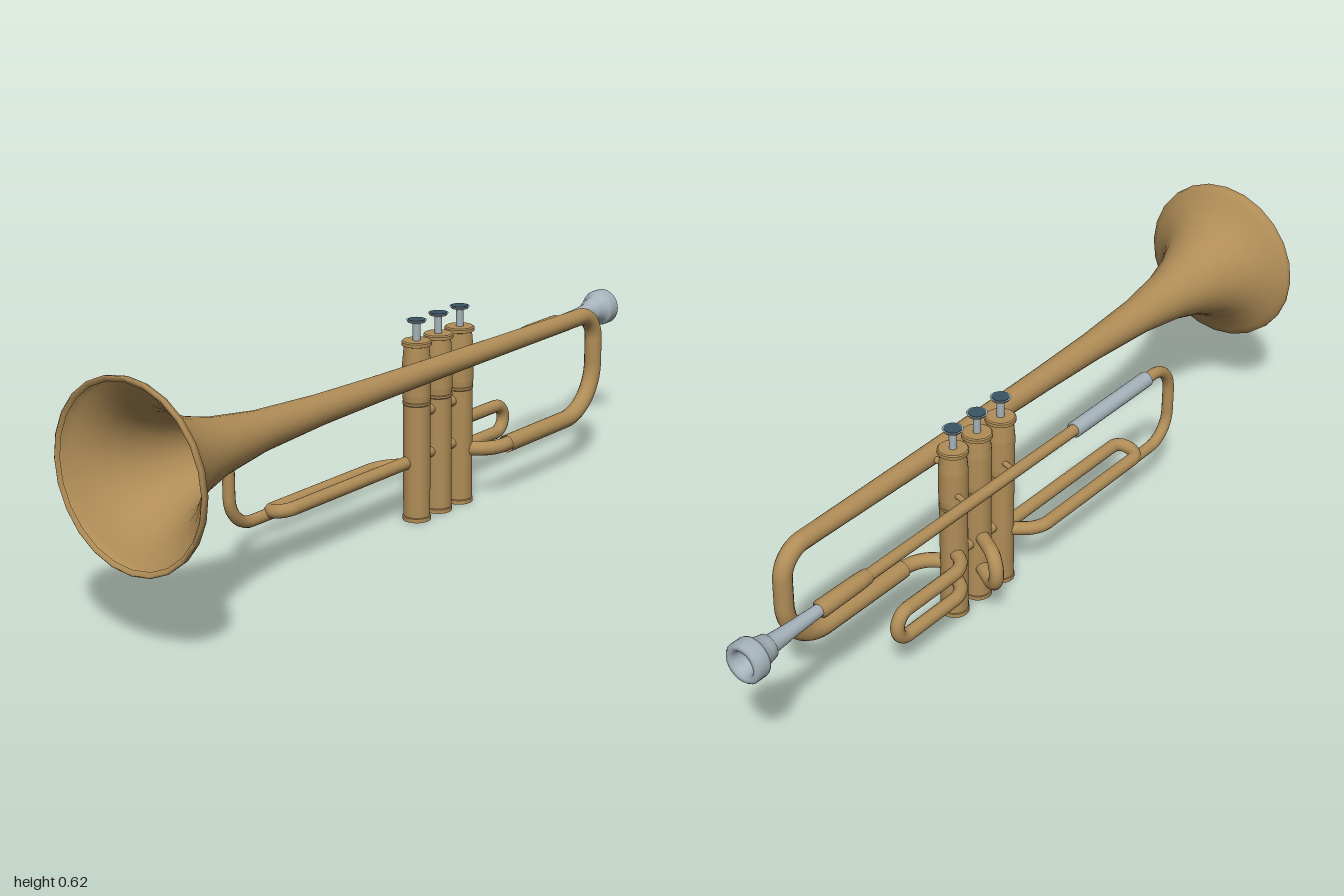
import * as THREE from 'three';

const mat = (name, color, side = THREE.FrontSide) => {
  const m = new THREE.MeshStandardMaterial({ color, side });
  m.name = name;
  return m;
};

export function createModel() {
  const brass = mat('brass', 0xb08d57, THREE.DoubleSide);
  const silver = mat('silver', 0xa5b3ba, THREE.DoubleSide);
  const dark = mat('dark inlay', 0x3a5566);
  const root = new THREE.Group();
  root.name = 'trumpet';

  const add = (name, geo, material, parent = root) => {
    const mesh = new THREE.Mesh(geo, material);
    mesh.name = name;
    parent.add(mesh);
    return mesh;
  };

  // Round tube along a polyline with circular corners
  const pipe = (name, pts, r, corner = 0.03, material = brass, parent = root) => {
    const p = pts.map(a => new THREE.Vector3(...a));
    const path = new THREE.CurvePath();
    let last = p[0];
    for (let i = 1; i < p.length - 1; i++) {
      const u = p[i - 1].clone().sub(p[i]), v = p[i + 1].clone().sub(p[i]);
      const c = Math.min(corner, u.length() * 0.499, v.length() * 0.499);
      u.normalize();
      v.normalize();
      const at = (d, k) => p[i].clone().addScaledVector(d, c * k);
      path.add(new THREE.LineCurve3(last, at(u, 1)));
      path.add(new THREE.CubicBezierCurve3(at(u, 1), at(u, 0.448), at(v, 0.448), at(v, 1)));
      last = at(v, 1);
    }
    path.add(new THREE.LineCurve3(last, p[p.length - 1]));
    return add(name, new THREE.TubeGeometry(path, p.length > 2 ? 110 : 1, r, 14), material, parent);
  };

  // Lathe lying along +x, profile given as [x, radius]
  const turned = (name, profile, y, z, material, sides = 24) => {
    const geo = new THREE.LatheGeometry(profile.map(([x, r]) => new THREE.Vector2(r, x)), sides);
    geo.rotateZ(-Math.PI / 2);
    geo.translate(0, y, z);
    return add(name, geo, material);
  };

  // Flared bell and main tube
  turned('bell', [[-0.992, 0.2], [-1, 0.208], [-0.996, 0.213], [-0.983, 0.211], [-0.972, 0.194], [-0.95, 0.162],
    [-0.92, 0.135], [-0.88, 0.111], [-0.82, 0.087], [-0.74, 0.066], [-0.6, 0.047], [-0.4, 0.036],
    [-0.2, 0.031], [0, 0.028], [0.3, 0.025], [0.6, 0.0225]], 0.403, 0, brass);
  pipe('bellBow', [[0.59, 0.403, 0], [0.724, 0.403, 0], [0.724, 0.139, 0], [0.33, 0.139, 0]], 0.0225, 0.1315);
  pipe('bellBowEnd', [[0.36, 0.139, 0], [0.28, 0.139, 0], [0.235, 0.139, -0.065]], 0.018, 0.04);

  // Three piston valves
  const vz = -0.075;
  const valveX = [0.058, 0.145, 0.232];
  const casing = [[0, 0], [0.035, 0], [0.035, 0.01], [0.0335, 0.012], [0.0335, 0.296], [0.035, 0.298],
    [0.035, 0.303], [0.0335, 0.305], [0.035, 0.32], [0.035, 0.4], [0.031, 0.443], [0.037, 0.445],
    [0.037, 0.453], [0.034, 0.456], [0, 0.456]];
  valveX.forEach((x, i) => {
    const valve = new THREE.Group();
    valve.name = 'valve' + (i + 1);
    valve.position.set(x, 0, vz);
    root.add(valve);
    // Each profile step gets its own sharp band
    for (let k = 0; k < casing.length - 1; k++) {
      const band = [casing[k], casing[k + 1]].map(a => new THREE.Vector2(...a));
      add('casing', new THREE.LatheGeometry(band, 24), brass, valve);
    }
    add('stem', new THREE.CylinderGeometry(0.0095, 0.0095, 0.05, 14), silver, valve).position.y = 0.479;
    add('button', new THREE.CylinderGeometry(0.025, 0.021, 0.006, 20), silver, valve).position.y = 0.504;
    add('buttonInlay', new THREE.CylinderGeometry(0.021, 0.021, 0.002, 20), dark, valve).position.y = 0.5073;
  });
  // Short knuckles joining neighbouring valves
  for (const x of [0.1015, 0.1885]) {
    for (const y of [0.16, 0.27]) {
      pipe('valveKnuckle', [[x - 0.03, y, vz], [x + 0.03, y, vz]], 0.014);
    }
  }

  // Leadpipe and tuning slide
  const ly = 0.345, lz = -0.143;
  pipe('leadpipe', [[0.77, ly, lz], [-0.544, ly, lz], [-0.544, 0.13, lz], [-0.36, 0.13, lz]], 0.0145, 0.075);
  turned('tuningSlideSleeve', [[-0.44, 0.014], [-0.44, 0.02], [-0.14, 0.02], [-0.14, 0.014]], ly, lz, silver);
  turned('mouthpieceReceiver', [[0.605, 0.014], [0.61, 0.018], [0.64, 0.02], [0.76, 0.021], [0.765, 0.014]],
    ly, lz, brass);

  // Mouthpiece with hollow cup
  turned('mouthpiece', [[0.755, 0.014], [0.86, 0.018], [0.915, 0.022], [0.92, 0.029], [0.935, 0.032],
    [0.955, 0.037], [0.96, 0.046], [0.966, 0.048], [0.994, 0.048], [1, 0.043], [1, 0.034],
    [0.993, 0.029], [0.965, 0.022], [0.945, 0.01], [0.9, 0.007]], ly, lz, silver);

  // First valve slide: two long legs joined by a bow
  pipe('firstSlide', [[0.05, 0.15, -0.085], [-0.418, 0.15, -0.085], [-0.418, 0.136, -0.147],
    [-0.005, 0.136, -0.147], [0.05, 0.14, -0.09]], 0.0165, 0.03);

  // Second valve slide: small bow reaching back
  pipe('secondSlide', [[0.145, 0.178, -0.08], [0.207, 0.178, -0.181], [0.207, 0.09, -0.181],
    [0.145, 0.09, -0.08]], 0.0175, 0.043);

  // Third valve slide: vertical bow running behind the valves
  pipe('thirdSlide', [[0.238, 0.178, -0.08], [0.275, 0.178, -0.14], [0.513, 0.178, -0.14],
    [0.513, 0.105, -0.14], [0.275, 0.105, -0.14], [0.238, 0.105, -0.08]], 0.0165, 0.036);

  // Braces between the bell, valves and leadpipe
  for (const x of [valveX[0], valveX[2]]) {
    pipe('bellBrace', [[x, 0.403, -0.015], [x, 0.403, -0.06]], 0.008);
    pipe('leadpipeBrace', [[x + 0.015, ly, -0.09], [x + 0.03, ly, lz]], 0.007);
  }
  return root;
}
